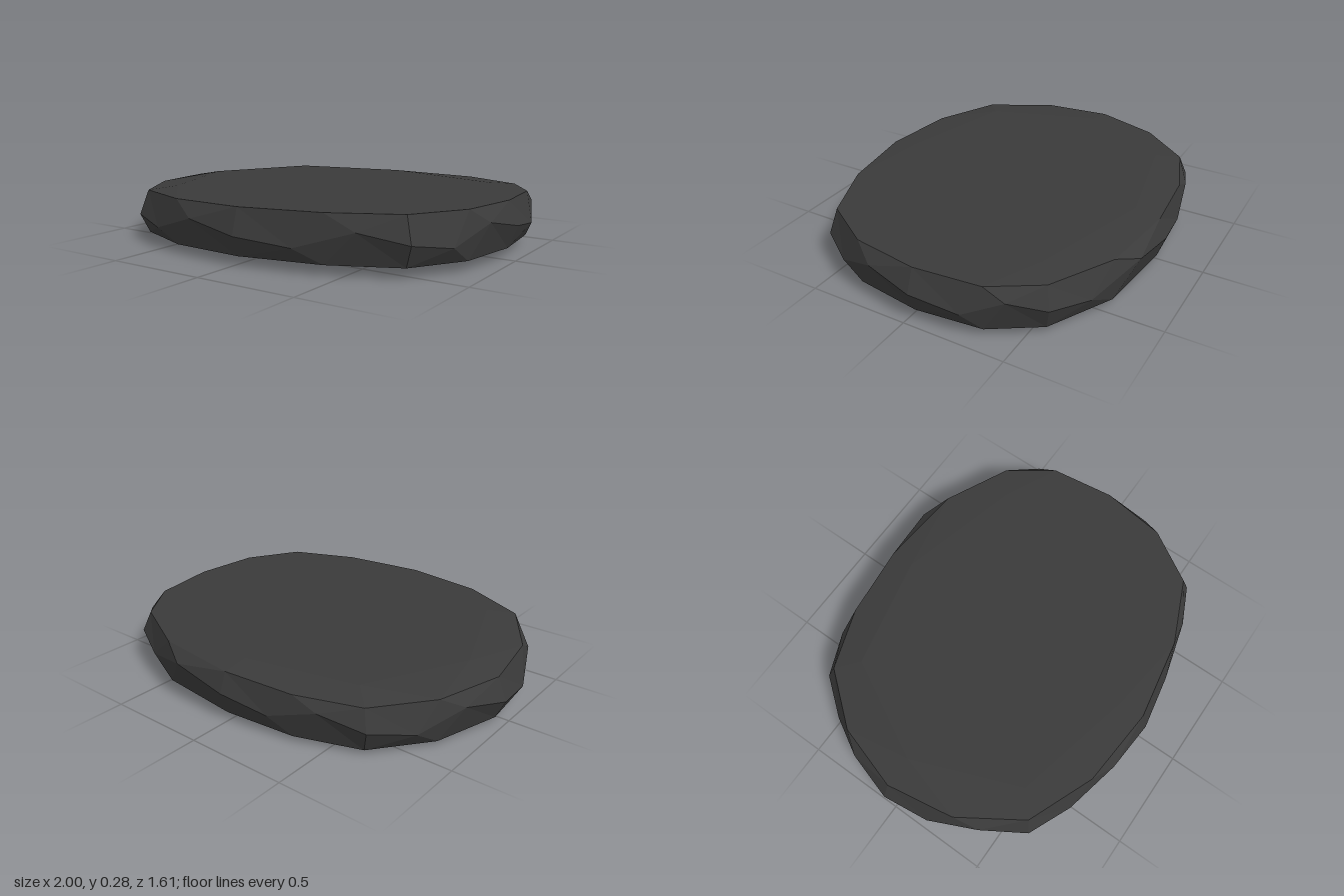
import * as THREE from 'three';

const stoneMat = new THREE.MeshStandardMaterial({ color: 0x3a3a3a, flatShading: true });
const stripMat = new THREE.MeshStandardMaterial({ color: 0x11c4b4, flatShading: true });

// Outline of the belt as [x, z], counterclockwise from above, in repeating triples: middle, low, high
const belt = [
  [0.02, 0.80], [0.30, 0.75], [0.57, 0.67], [0.78, 0.58], [0.89, 0.41], [0.96, 0.20],
  [0.995, -0.03], [0.97, -0.27], [0.90, -0.45], [0.80, -0.60], [0.60, -0.70], [0.31, -0.80],
  [0.02, -0.81], [-0.23, -0.78], [-0.47, -0.73], [-0.68, -0.66], [-0.82, -0.49], [-0.93, -0.28],
  [-1.00, -0.05], [-0.97, 0.18], [-0.87, 0.42], [-0.74, 0.62], [-0.52, 0.715], [-0.25, 0.78],
];
const beltHeight = [0.14, 0.11, 0.19];

// Height rules for the slightly tilted faces
const topRimY = (x, z) => 0.252 + 0.02 * x + 0.018 * z;
const topY = (x, z) => 0.268 + 0.008 * x + 0.012 * z;
const bottomRimY = (x, z) => 0.037 + 0.012 * x + 0.01 * z;
const bottomY = (x, z) => 0.016 + 0.014 * z;

function geometryFrom(triangles) {
  const geometry = new THREE.BufferGeometry().setFromPoints(triangles);
  geometry.computeVertexNormals();
  return geometry;
}

// Faceted pebble: zigzag belt, a sixteen-sided rim and an eight-sided face above and below
function stoneGeometry() {
  const tris = [];
  const n = belt.length;
  const ring = belt.map(([x, z], i) => new THREE.Vector3(x, beltHeight[i % 3] + 0.018 * x, z));
  const at = (i) => ring[(i + n) % n];

  const addHalf = (rimY, faceY, flip) => {
    const add = (a, b, c) => (flip ? tris.push(a, c, b) : tris.push(a, b, c));
    const place = (x, z, s, rule) => new THREE.Vector3(x * s, rule(x * s, z * s), z * s);
    const rimMid = (i) => place(at(i).x, at(i).z, 0.953, rimY);
    const rimBetween = (i) => place((at(i + 1).x + at(i + 2).x) / 2, (at(i + 1).z + at(i + 2).z) / 2, 0.975, rimY);
    const inner = (i) => place(at(i).x, at(i).z, 0.8, faceY);
    const centre = place(0, 0, 1, faceY);
    for (let i = 0; i < n; i += 3) {
      const m = rimMid(i), b = rimBetween(i), next = rimMid(i + 3);
      // side facets
      add(at(i), at(i + 1), m);
      add(m, at(i + 1), b);
      add(at(i + 1), at(i + 2), b);
      add(b, at(i + 2), next);
      add(at(i + 2), at(i + 3), next);
      // shoulder and face
      add(m, b, inner(i));
      add(inner(i), b, inner(i + 3));
      add(b, next, inner(i + 3));
      add(inner(i), inner(i + 3), centre);
    }
  };
  addHalf(topRimY, topY, false);
  addHalf(bottomRimY, bottomY, true);
  return geometryFrom(tris);
}

// Thin raised strip following a path of [x, z] points on the underside
function stripGeometry(path, width = 0.046) {
  const pts = path.map(([x, z]) => new THREE.Vector2(x, z));
  const sections = pts.map((p, i) => {
    const dir = pts[Math.min(i + 1, pts.length - 1)].clone().sub(pts[Math.max(i - 1, 0)]).normalize();
    const corner = (side, lift) => {
      const x = p.x - dir.y * side * width / 2, z = p.y + dir.x * side * width / 2;
      return new THREE.Vector3(x, bottomY(x, z) + lift, z);
    };
    return [corner(-1, -0.007), corner(1, -0.007), corner(1, 0.012), corner(-1, 0.012)];
  });
  const tris = [];
  const quad = (a, b, c, d) => tris.push(a, b, c, a, c, d);
  for (let i = 0; i < sections.length - 1; i++) {
    const s = sections[i], t = sections[i + 1];
    for (let k = 0; k < 4; k++) {
      const j = (k + 1) % 4;
      quad(s[k], t[k], t[j], s[j]);
    }
  }
  const first = sections[0], last = sections[sections.length - 1];
  quad(first[0], first[1], first[2], first[3]);
  quad(last[3], last[2], last[1], last[0]);
  return geometryFrom(tris);
}

const stripPaths = [
  [[0.73, 0.20], [0.66, 0.04], [0.72, -0.16], [0.61, -0.31], [0.66, -0.46]],
  [[0.56, 0.38], [0.515, 0.175], [0.48, 0], [0.49, -0.11], [0.39, -0.26], [0.385, -0.40], [0.40, -0.61]],
  [[0.24, 0.40], [0.31, 0.26], [0.24, 0.10], [0.27, -0.11], [0.14, -0.31], [0.19, -0.51]],
  [[0.09, 0.45], [0.07, 0.26], [0.03, 0.14], [0.06, -0.02], [-0.02, -0.21], [-0.05, -0.40], [-0.02, -0.54]],
  [[-0.06, 0.455], [-0.105, 0.24], [-0.17, 0.12], [-0.13, -0.02], [-0.25, -0.15], [-0.24, -0.34], [-0.23, -0.545]],
  [[-0.36, 0.57], [-0.27, 0.49], [-0.36, 0.355], [-0.34, 0.18], [-0.46, 0.14]],
  [[-0.37, 0.11], [-0.48, -0.09], [-0.44, -0.24], [-0.50, -0.43]],
  [[-0.63, 0.42], [-0.56, 0.30], [-0.65, 0.165], [-0.575, -0.03], [-0.70, -0.18], [-0.63, -0.315]],
];

export function createModel() {
  const model = new THREE.Group();
  model.name = 'flatStone';

  const stone = new THREE.Mesh(stoneGeometry(), stoneMat);
  stone.name = 'stoneBody';
  model.add(stone);

  const strips = new THREE.Group();
  strips.name = 'undersideStrips';
  stripPaths.forEach((path, i) => {
    const strip = new THREE.Mesh(stripGeometry(path), stripMat);
    strip.name = `wavyStrip${i + 1}`;
    strips.add(strip);
  });
  model.add(strips);
  return model;
}
